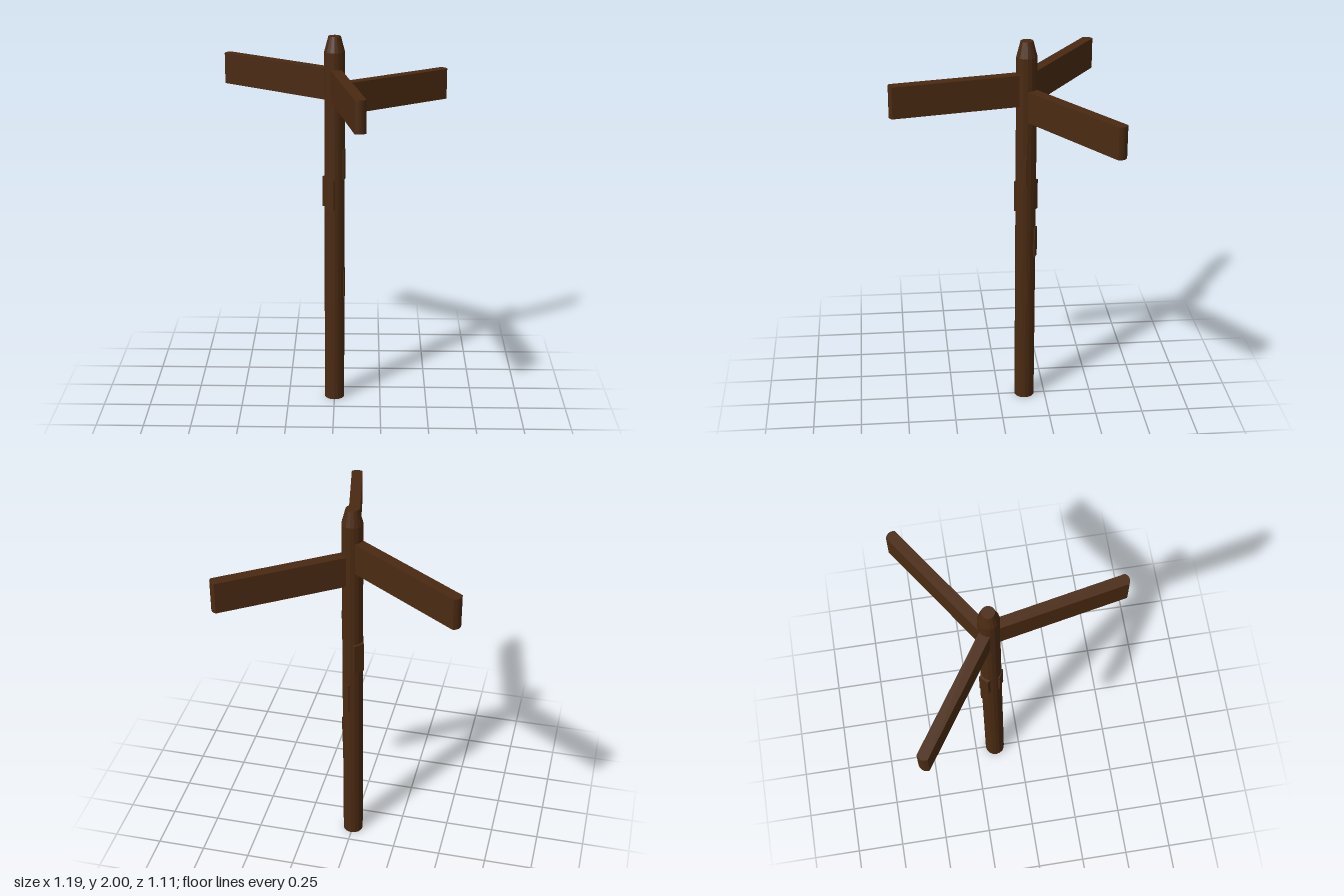
import * as THREE from 'three';

const POST_Z = -0.14;
const wood = new THREE.MeshStandardMaterial({ color: 0x4a2a12, flatShading: true });

function add(parent, name, geometry) {
  const mesh = new THREE.Mesh(geometry, wood);
  mesh.name = name;
  parent.add(mesh);
  return mesh;
}

// Board running along +z from the post axis, with a slightly bowed tip
function boardGeometry(length, thickness, height) {
  const t = thickness / 2;
  const shape = new THREE.Shape();
  shape.moveTo(-t, 0);
  shape.lineTo(t, 0);
  shape.lineTo(t, -length + 0.012);
  shape.quadraticCurveTo(0, -length - 0.012, -t, -length + 0.012);
  shape.closePath();
  const geo = new THREE.ExtrudeGeometry(shape, { depth: height, bevelEnabled: false, curveSegments: 6 });
  geo.rotateX(-Math.PI / 2);
  return geo;
}

export function createModel() {
  const group = new THREE.Group();
  group.name = 'signpost';

  // Round post with a tapered, flat-topped tip
  const profile = [[0, 0], [0.053, 0], [0.053, 1.92], [0.032, 2], [0, 2]]
    .map(([r, y]) => new THREE.Vector2(r, y));
  add(group, 'post', new THREE.LatheGeometry(profile, 16)).position.z = POST_Z;

  // Three direction boards: tip position in plan and underside height
  const boards = [
    ['frontBoard', 0.137, 0.55, 1.67],
    ['rightBoard', -0.59, -0.538, 1.67],
    ['leftBoard', 0.59, -0.538, 1.59],
  ];
  for (const [name, x, z, y] of boards) {
    const dz = z - POST_Z;
    const board = add(group, name, boardGeometry(Math.hypot(x, dz), 0.056, 0.163));
    board.position.set(0, y, POST_Z);
    board.rotation.y = Math.atan2(x, dz);
  }

  // Small raised slats of wood: bearing in degrees from the front, bottom, reach, width
  const slats = [
    [225, 1.09, 0.064, 0.056],
    [-28, 1.09, 0.055, 0.05],
    [70, 1.25, 0.055, 0.03],
    [155, 0.84, 0.058, 0.035],
    [80, 0.59, 0.055, 0.03],
  ];
  for (const [bearing, y, reach, width] of slats) {
    const geo = new THREE.BoxGeometry(width, 0.163, 0.03);
    geo.translate(0, 0.0815, reach - 0.015);
    const slat = add(group, 'slat', geo);
    slat.position.set(0, y, POST_Z);
    slat.rotation.y = THREE.MathUtils.degToRad(bearing);
  }

  return group;
}
